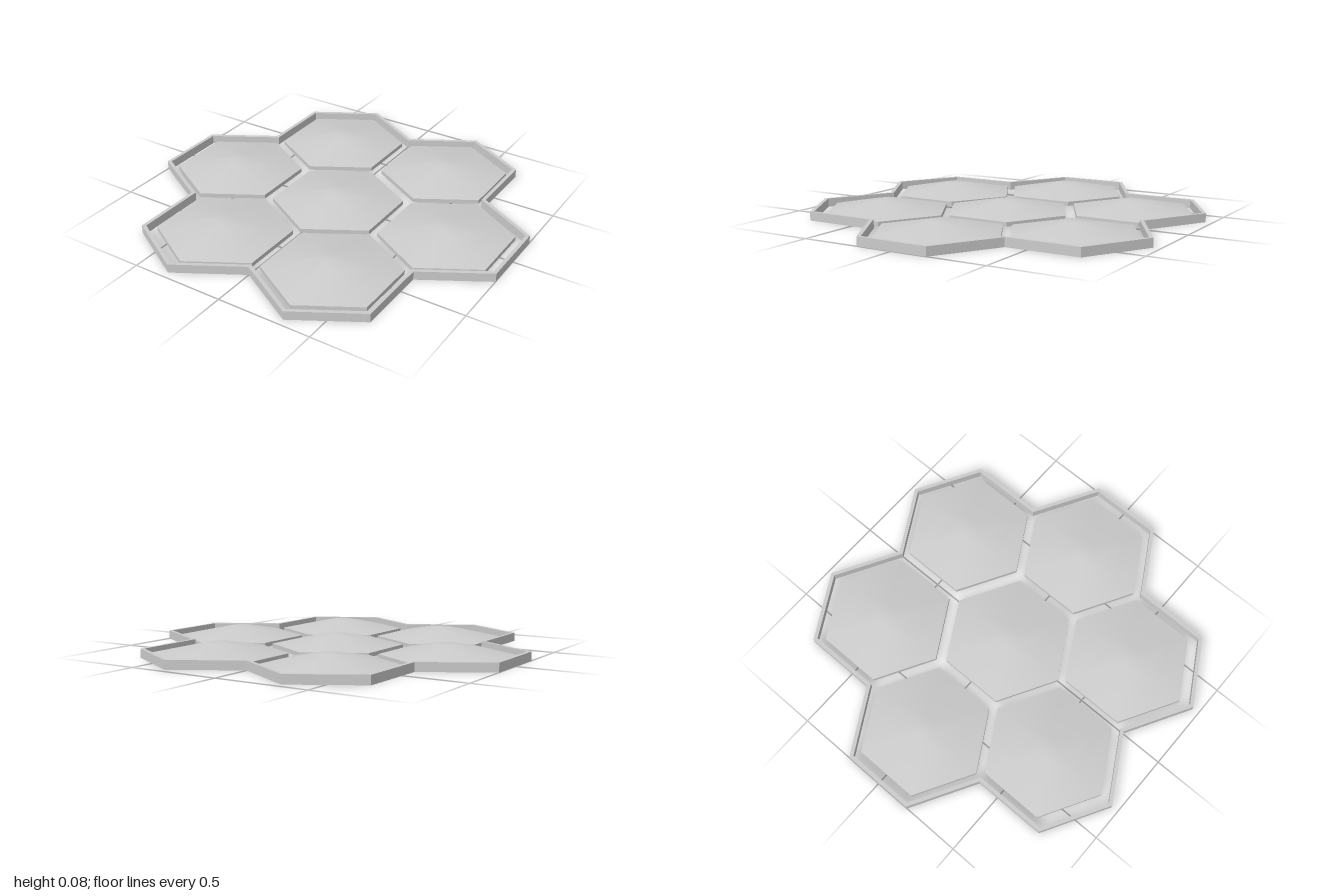
import * as THREE from 'three';

const RAD = Math.PI / 180;
const CELL = 0.386;                // corner radius of one honeycomb cell
const PITCH = 2 / 3;               // distance between cell centres

const v = (x, y) => new THREE.Vector2(x, y);
const polar = (r, deg) => v(r * Math.cos(deg * RAD), r * Math.sin(deg * RAD));

// Outline around the six outer cells, moved inwards by inset
function outline(inset) {
  const d = inset / Math.cos(30 * RAD);
  const points = [];
  for (let a = 0; a < 360; a += 60) {
    const centre = polar(PITCH, a);
    points.push(centre.clone().add(polar(CELL - d, a - 30)));
    points.push(centre.clone().add(polar(CELL - d, a + 30)));
    points.push(polar(2 * CELL - d, a + 30)); // notch between two cells
  }
  return points;
}

export function createModel() {
  const model = new THREE.Group();
  model.name = 'honeycombTray';
  const faceted = new THREE.MeshStandardMaterial({ color: 0xcccccc, flatShading: true });
  const smooth = new THREE.MeshStandardMaterial({ color: 0xcccccc });

  // Thin upright border
  const shape = new THREE.Shape(outline(0));
  shape.holes.push(new THREE.Path(outline(0.019)));
  const borderGeometry = new THREE.ExtrudeGeometry(shape, { depth: 0.046, bevelEnabled: false });
  borderGeometry.rotateX(-Math.PI / 2);
  const border = new THREE.Mesh(borderGeometry, faceted);
  border.name = 'border';
  model.add(border);

  // Six-sided tile: flat underside with a low wall, and a shallow blunted top
  const R = 0.342;
  const bodyGeometry = new THREE.LatheGeometry([v(0, 0.004), v(R, 0.004), v(R, 0.026)], 6);
  const topGeometry = new THREE.LatheGeometry(
    [v(R, 0.026), v(0.235, 0.047), v(0.06, 0.08), v(0, 0.082)], 6);

  // Tile centres, x and z
  const centres = [
    [-0.325, -0.56], [0.33, -0.565],
    [-0.645, 0], [0, 0], [0.637, -0.005],
    [-0.32, 0.545], [0.32, 0.545],
  ];
  centres.forEach(([x, z], i) => {
    const tile = new THREE.Group();
    tile.name = `tile${i + 1}`;
    const body = new THREE.Mesh(bodyGeometry, faceted);
    body.name = 'tileBody';
    const top = new THREE.Mesh(topGeometry, smooth);
    top.name = 'tileTop';
    tile.add(body, top);
    tile.position.set(x, 0, z);
    model.add(tile);
  });

  return model;
}
